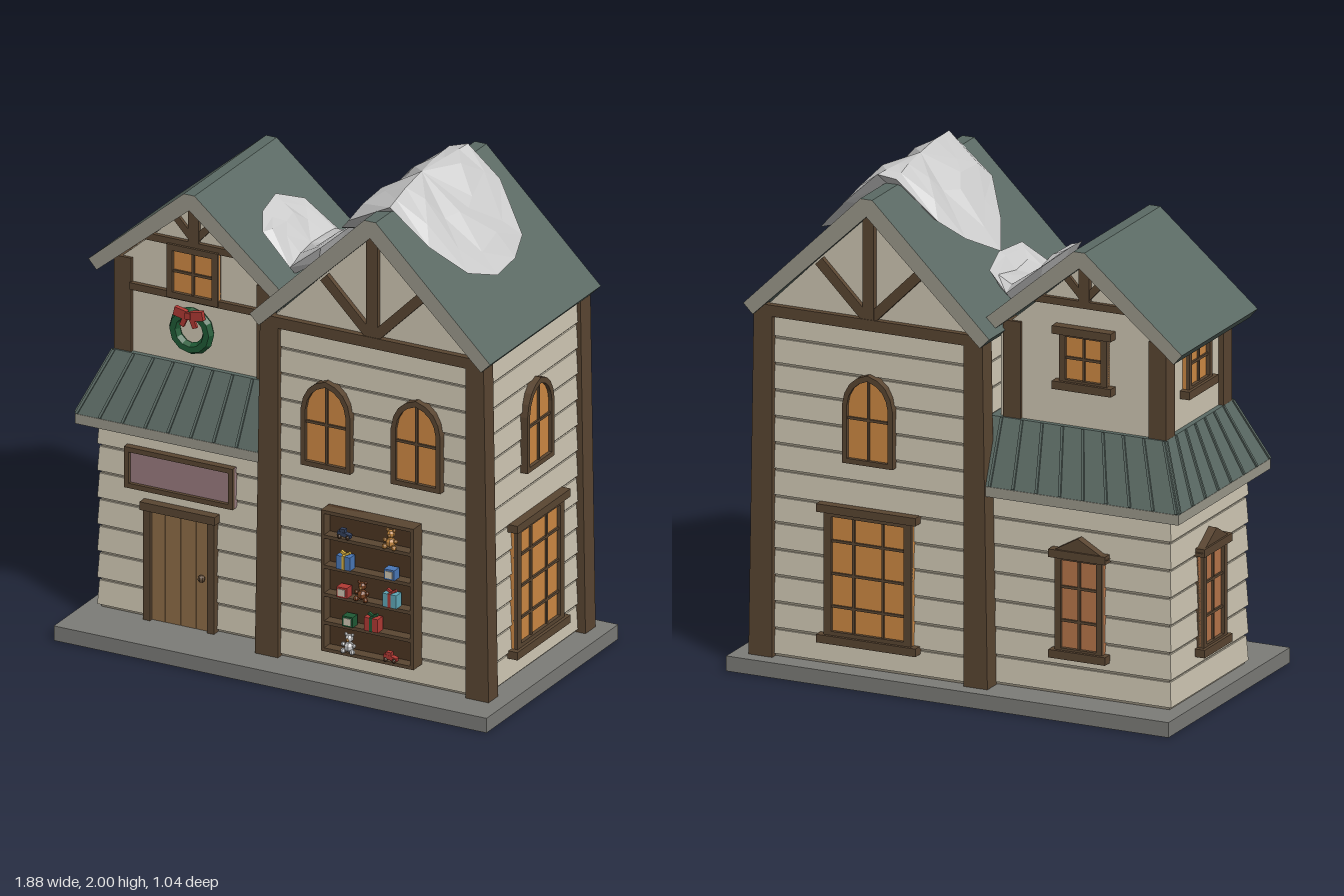
import * as THREE from 'three';

const mat = (color) => new THREE.MeshStandardMaterial({ color, flatShading: true });
const M = {
  wall: mat(0xcfc7b3), groove: mat(0x8f8878), wood: mat(0x5a4632), roof: mat(0x5b6a64), trim: mat(0x9c998c),
  stone: mat(0x7c7c78), glass: mat(0xcf8a44), dim: mat(0xb8764a), door: mat(0x8f6d48), sign: mat(0x9a7c80),
  snow: mat(0xcccccc), green: mat(0x1f5a35), red: mat(0xb03a34), shelf: mat(0x4b3522), blue: mat(0x4a78b8),
  cyan: mat(0x5fa8b8), yellow: mat(0xd8b040), tan: mat(0xc08540), bear: mat(0x7a4322), grey: mat(0xcccccc), dark: mat(0x33405c),
};
M.snow.side = THREE.DoubleSide;

function add(parent, name, geo, material, x = 0, y = 0, z = 0) {
  const m = new THREE.Mesh(geo, material);
  m.name = name;
  m.position.set(x, y, z);
  parent.add(m);
  return m;
}
const box = (p, name, material, w, h, d, x, y, z) => add(p, name, new THREE.BoxGeometry(w, h, d), material, x, y, z);

// Box with different bottom and top rectangles [x0, x1, z0, z1]
function frustum(p, name, material, b, t, y0, y1) {
  const g = new THREE.BoxGeometry(2, 2, 2), a = g.attributes.position;
  for (let i = 0; i < a.count; i++) {
    const r = a.getY(i) > 0 ? t : b;
    a.setXYZ(i, a.getX(i) > 0 ? r[1] : r[0], a.getY(i) > 0 ? y1 : y0, a.getZ(i) > 0 ? r[3] : r[2]);
  }
  g.computeVertexNormals();
  return add(p, name, g, material);
}

// Bar running between two points
function beam(p, name, material, from, to, w, d) {
  const a = new THREE.Vector3(...from), b = new THREE.Vector3(...to), dir = b.clone().sub(a);
  const m = box(p, name, material, w, dir.length(), d, 0, 0, 0);
  m.position.copy(a).add(b).multiplyScalar(0.5);
  m.quaternion.setFromUnitVectors(new THREE.Vector3(0, 1, 0), dir.normalize());
  return m;
}

function extrude(p, name, material, pts, z0, z1) {
  const g = new THREE.ExtrudeGeometry(new THREE.Shape(pts.map(([x, y]) => new THREE.Vector2(x, y))), { depth: z1 - z0, bevelEnabled: false });
  return add(p, name, g, material, 0, 0, z0);
}

function group(parent, name, x, y, z, rotY = 0) {
  const g = new THREE.Group();
  g.name = name;
  g.position.set(x, y, z);
  g.rotation.y = rotY;
  parent.add(g);
  return g;
}

// Overlapping clapboards around a dark core
function siding(p, name, x0, x1, z0, z1, y0, y1, n) {
  box(p, name + 'Core', M.groove, x1 - x0, y1 - y0, z1 - z0, (x0 + x1) / 2, (y0 + y1) / 2, (z0 + z1) / 2);
  const h = (y1 - y0) / n;
  for (let i = 0; i < n; i++) {
    const e = 0.012, f = 0.006, y = y0 + i * h;
    frustum(p, name + 'Board', M.wall, [x0 - e, x1 + e, z0 - e, z1 + e], [x0 - f, x1 + f, z0 - f, z1 + f], y + 0.012, y + h);
  }
}

// Gabled roof slab; end faces are lighter barge boards
function gableRoof(p, name, cx, ridge, eave, under, inner, z0, z1) {
  const half = [ridge, eave, under];
  const pts = [[cx, inner], ...[...half].reverse().map(([x, y]) => [cx + x, y]), ...half.map(([x, y]) => [cx - x, y])];
  extrude(p, name, [M.trim, M.roof], pts, z0, z1);
}

// Windows face +z, with their centre at the group's origin
function glazing(g, w, h, cols, rows, t = 0.01) {
  for (let i = 1; i < cols; i++) box(g, 'mullion', M.wood, t, h, 0.02, -w / 2 + (i * w) / cols, 0, 0.008);
  for (let i = 1; i < rows; i++) box(g, 'glazingBar', M.wood, w, t, 0.02, 0, -h / 2 + (i * h) / rows, 0.008);
}
function rectWindow(p, name, [x, y, z, ry], w, h, cols, rows, o = {}) {
  const g = group(p, name, x, y, z, ry), f = o.frame ?? 0.025;
  box(g, 'pane', o.glass ?? M.glass, w, h, 0.02, 0, 0, 0);
  for (const s of [-1, 1]) {
    box(g, 'jamb', M.wood, f, h, 0.04, s * (w - f) / 2, 0, 0.005);
    box(g, 'rail', M.wood, w, f, 0.04, 0, s * (h - f) / 2, 0.005);
    if (o.ledge) box(g, 'ledge', M.wood, w + o.ledge, 0.032, 0.06, 0, s * h / 2, 0.008);
  }
  if (o.pediment) extrude(g, 'pediment', M.wood, [[-w * 0.62, h / 2], [w * 0.62, h / 2], [0, h / 2 + 0.07]], -0.01, 0.03);
  glazing(g, w, h, cols, rows);
}
function archShape(w, y0, ys, y1) {
  const s = new THREE.Shape();
  s.moveTo(-w, y0).lineTo(w, y0).lineTo(w, ys);
  s.quadraticCurveTo(w * 0.9, y1 - 0.02, 0, y1).quadraticCurveTo(-w * 0.9, y1 - 0.02, -w, ys);
  return s;
}
function archWindow(p, [x, y, z, ry]) {
  const g = group(p, 'archedWindow', x, y, z, ry);
  const frame = archShape(0.107, -0.18, 0.05, 0.18), pane = archShape(0.087, -0.16, 0.05, 0.157);
  frame.holes.push(pane);
  const ex = (s, d) => new THREE.ExtrudeGeometry(s, { depth: d, bevelEnabled: false, curveSegments: 4 });
  add(g, 'frame', ex(frame, 0.035), M.wood, 0, 0, -0.01);
  add(g, 'pane', ex(pane, 0.02), M.glass, 0, 0, -0.01);
  box(g, 'mullion', M.wood, 0.01, 0.32, 0.02, 0, 0, 0.008);
  box(g, 'glazingBar', M.wood, 0.18, 0.01, 0.02, 0, 0, 0.008);
}

// Height of the roof surface, used to lay the snow
const roofY = (x) => Math.max(1.945 - 0.975 * Math.max(0, Math.abs(x - 0.365) - 0.025), 1.83 - 0.85 * Math.max(0, Math.abs(x + 0.49) - 0.023));
function snow(p, name, cx, cz, outline, lift) {
  const rings = [[0, 1], [0.5, 1.2], [0.8, 1.1], [1, 0.9], [0.75, -0.1]], n = outline.length, pos = [], idx = [];
  rings.forEach(([s, h], r) => outline.forEach(([x, z], i) => {
    const px = cx + (x - cx) * s, wob = r && r < 3 ? 0.25 * Math.sin(i * 2.4 + r * 1.7) : 0;
    pos.push(px, Math.min(2, roofY(px) + lift * (h + wob)), cz + (z - cz) * s);
    if (!r) return;
    const a = (r - 1) * n + i, b = (r - 1) * n + (i + 1) % n;
    if (r > 1) idx.push(a, a + n, b);
    idx.push(b, a + n, b + n);
  }));
  const g = new THREE.BufferGeometry();
  g.setAttribute('position', new THREE.Float32BufferAttribute(pos, 3));
  g.setIndex(idx);
  g.computeVertexNormals();
  add(p, name, g, M.snow);
}

// Toys stand on y = 0 of their group
const ball = (g, m, r, x, y, z) => add(g, 'ball', new THREE.SphereGeometry(r, 7, 5), m, x, y, z);
function teddy(p, m, x, y) {
  const g = group(p, 'teddyBear', x, y, 0.425);
  ball(g, m, 0.021, 0, 0.025, 0);
  ball(g, m, 0.017, 0, 0.06, 0);
  ball(g, M.tan, 0.007, 0, 0.056, 0.015);
  for (const s of [-1, 1]) {
    ball(g, m, 0.007, s * 0.014, 0.075, 0);
    ball(g, m, 0.009, s * 0.023, 0.034, 0.006);
    ball(g, m, 0.011, s * 0.02, 0.01, 0.014);
  }
}
function gift(p, m, ribbon, x, y) {
  const g = group(p, 'gift', x, y, 0.418);
  box(g, 'parcel', m, 0.06, 0.055, 0.04, 0, 0.0275, 0);
  box(g, 'ribbon', ribbon, 0.012, 0.058, 0.043, 0, 0.0285, 0);
  for (const s of [-1, 1]) box(g, 'bow', ribbon, 0.022, 0.01, 0.012, s * 0.01, 0.062, 0).rotation.z = s * 0.5;
}
function block(p, m, x, y) {
  box(p, 'toyBlock', m, 0.045, 0.042, 0.04, x, y + 0.021, 0.42);
  box(p, 'blockFace', M.wall, 0.03, 0.028, 0.004, x, y + 0.021, 0.441);
}
function toyVehicle(p, m, x, y) {
  const g = group(p, 'toyVehicle', x, y, 0.425);
  box(g, 'body', m, 0.055, 0.016, 0.022, 0, 0.018, 0).rotation.z = -0.2;
  box(g, 'cabin', m, 0.022, 0.016, 0.02, -0.006, 0.032, 0);
  for (const s of [-1, 1]) ball(g, M.shelf, 0.009, s * 0.018, 0.009, 0.01);
}

export function createModel() {
  const root = new THREE.Group();
  root.name = 'house';
  box(root, 'base', M.stone, 1.87, 0.06, 1.04, 0, 0.03, 0);

  // Tall wing
  const R = group(root, 'tallWing', 0, 0, 0), cx = 0.365, zc = -0.0375;
  siding(R, 'tallWall', -0.095, 0.825, -0.43, 0.355, 0.06, 1.43, 13);
  extrude(R, 'tallGable', M.wall, [[-0.105, 1.42], [0.835, 1.42], [cx, 1.885]], -0.437, 0.362);
  gableRoof(R, 'tallRoof', cx, [0.025, 1.945], [0.52, 1.46], [0.48, 1.42], 1.875, -0.475, 0.4);
  for (const s of [-1, 1]) {
    const xr = (a, b) => [cx + s * a, cx + s * b].sort((u, v) => u - v), z = zc + s * 0.405;
    for (const [z0, z1] of [[0.31, 0.385], [-0.46, -0.38]])
      frustum(R, 'cornerPost', M.wood, [...xr(0.405, 0.505), z0, z1], [...xr(0.405, 0.483), z0, z1], 0.06, 1.44);
    box(R, 'tieBeam', M.wood, 0.96, 0.045, 0.04, cx, 1.44, z);
    box(R, 'kingPost', M.wood, 0.048, 0.42, 0.035, cx, 1.66, z);
    for (const k of [-1, 1]) beam(R, 'brace', M.wood, [cx, 1.455, z], [cx + k * 0.21, 1.665, z], 0.04, 0.03);
  }
  for (const x of [0.168, 0.558]) archWindow(R, [x, 1.06, 0.367, 0]);
  for (const at of [[0.837, zc - 0.007, Math.PI / 2], [cx, -0.442, Math.PI]]) {
    archWindow(R, [at[0], 1.06, at[1], at[2]]);
    rectWindow(R, 'tallWindow', [at[0], 0.43, at[1], at[2]], 0.37, 0.52, 3, 4, { frame: 0.032, ledge: 0.05 });
  }

  // Display shelf with toys
  const S = group(R, 'displayShelf', 0, 0, 0);
  box(S, 'back', M.shelf, 0.4, 0.58, 0.02, 0.37, 0.44, 0.375);
  for (const x of [0.177, 0.563]) box(S, 'side', M.wood, 0.014, 0.58, 0.07, x, 0.44, 0.395);
  for (const y of [0.157, 0.268, 0.383, 0.498, 0.622, 0.723]) box(S, 'board', M.wood, 0.4, 0.014, 0.07, 0.37, y, 0.395);
  toyVehicle(S, M.dark, 0.27, 0.63);
  teddy(S, M.tan, 0.47, 0.63);
  gift(S, M.blue, M.yellow, 0.27, 0.505);
  block(S, M.blue, 0.47, 0.505);
  block(S, M.red, 0.265, 0.39);
  teddy(S, M.bear, 0.347, 0.39);
  gift(S, M.cyan, M.red, 0.47, 0.39);
  block(S, M.green, 0.29, 0.275);
  gift(S, M.red, M.green, 0.39, 0.275);
  teddy(S, M.grey, 0.29, 0.164);
  toyVehicle(S, M.red, 0.47, 0.164);

  // Low wing: ground floor and skirt roof
  const L = group(root, 'lowWing', 0, 0, 0), lx = -0.49, lz = -0.055;
  siding(L, 'lowWall', -0.868, -0.08, -0.375, 0.265, 0.06, 0.83, 7);
  const skirt = [-0.942, -0.09, -0.45, 0.34], top = [-0.836, -0.09, -0.345, 0.235];
  frustum(L, 'skirtFascia', M.trim, skirt, skirt, 0.825, 0.865);
  frustum(L, 'skirtRoof', M.roof, skirt, top, 0.866, 1.115);
  for (let i = 0; i < 9; i++) {
    const t = i / 8, xb = -0.935 + t * 0.79, xt = -0.83 + t * 0.685;
    beam(L, 'seam', M.roof, [xb, 0.868, 0.34], [xt, 1.113, 0.235], 0.01, 0.014);
    beam(L, 'seam', M.roof, [xb, 0.868, -0.45], [xt, 1.113, -0.345], 0.01, 0.014);
    if (i < 8) beam(L, 'seam', M.roof, [-0.942, 0.868, lz - 0.385 + t * 0.88], [-0.836, 1.113, lz - 0.285 + t * 0.651], 0.014, 0.01);
  }

  // Low wing: upper floor
  extrude(L, 'upperWall', M.wall, [[lx - 0.325, 1.09], [lx + 0.36, 1.09], [lx + 0.36, 1.46], [lx, 1.77], [lx - 0.325, 1.49]], -0.325, 0.215);
  gableRoof(L, 'lowRoof', lx, [0.023, 1.83], [0.435, 1.48], [0.4, 1.44], 1.765, -0.385, 0.265);
  for (const s of [-1, 1]) {
    const z = lz + s * 0.27;
    for (const k of [-1, 1]) {
      box(L, 'upperPost', M.wood, 0.075, 0.4, 0.075, lx + k * 0.308, 1.3, z - s * 0.025);
      beam(L, 'brace', M.wood, [lx, 1.625, z], [lx + k * 0.075, 1.705, z], 0.028, 0.028);
    }
    box(L, 'collarBeam', M.wood, 0.45, 0.028, 0.035, lx, 1.607, z);
    box(L, 'kingPost', M.wood, 0.045, 0.16, 0.035, lx, 1.695, z);
  }
  box(L, 'sillBeam', M.wood, 0.55, 0.028, 0.035, lx, 1.388, 0.217);
  rectWindow(L, 'gableWindow', [lx, 1.49, 0.218, 0], 0.22, 0.22, 2, 2);
  const small = { ledge: 0.05 }, peaked = { ledge: 0.04, pediment: true, glass: M.dim };
  rectWindow(L, 'upperWindow', [lx, 1.39, -0.328, Math.PI], 0.2, 0.22, 2, 2, small);
  rectWindow(L, 'upperWindow', [-0.818, 1.36, lz, -Math.PI / 2], 0.2, 0.22, 2, 2, small);
  rectWindow(L, 'peakedWindow', [-0.5, 0.43, -0.388, Math.PI], 0.2, 0.4, 2, 3, peaked);
  rectWindow(L, 'peakedWindow', [-0.88, 0.43, lz, -Math.PI / 2], 0.2, 0.4, 2, 3, peaked);

  // Wreath with bow
  const W = group(L, 'wreath', -0.495, 1.26, 0.235);
  add(W, 'ring', new THREE.TorusGeometry(0.073, 0.024, 6, 12), M.green);
  for (const s of [-1, 1]) {
    box(W, 'bowLoop', M.red, 0.055, 0.036, 0.02, s * 0.035, 0.074, 0.02).rotation.z = s * 0.2;
    box(W, 'bowTail', M.red, 0.02, 0.045, 0.012, s * 0.02, 0.045, 0.024).rotation.z = s * 0.4;
  }
  box(W, 'bowKnot', M.red, 0.022, 0.026, 0.026, 0, 0.07, 0.022);

  // Door and blank sign board
  const D = group(L, 'door', -0.515, 0.06, 0.278);
  for (let i = 0; i < 4; i++) box(D, 'plank', M.door, 0.065, 0.46, 0.016, -0.1 + i * 0.067, 0.23, 0);
  for (const s of [-1, 1]) box(D, 'jamb', M.wood, 0.03, 0.47, 0.04, s * 0.138, 0.235, 0.005);
  box(D, 'lintel', M.wood, 0.325, 0.033, 0.055, 0, 0.47, 0.008);
  add(D, 'knob', new THREE.SphereGeometry(0.015, 8, 6), M.wood, 0.095, 0.215, 0.018);
  rectWindow(L, 'signBoard', [-0.515, 0.673, 0.28, 0], 0.47, 0.168, 1, 1, { frame: 0.02, glass: M.sign });

  // Snow patches
  snow(root, 'ridgeSnow', 0.365, -0.01, [[0, -0.06], [0.08, -0.2], [0.16, -0.275], [0.32, -0.31], [0.39, -0.33], [0.52, -0.345], [0.68, -0.23],
    [0.72, -0.1], [0.73, 0.06], [0.68, 0.2], [0.56, 0.29], [0.41, 0.325], [0.19, 0.25], [0.08, 0.1]], 0.065);
  snow(root, 'valleySnow', -0.13, -0.04, [[-0.31, -0.09], [-0.25, -0.21], [-0.11, -0.24], [-0.02, -0.2], [0.01, -0.06], [0, 0.12], [-0.11, 0.165],
    [-0.24, 0.14], [-0.29, 0.05]], 0.05);
  return root;
}
